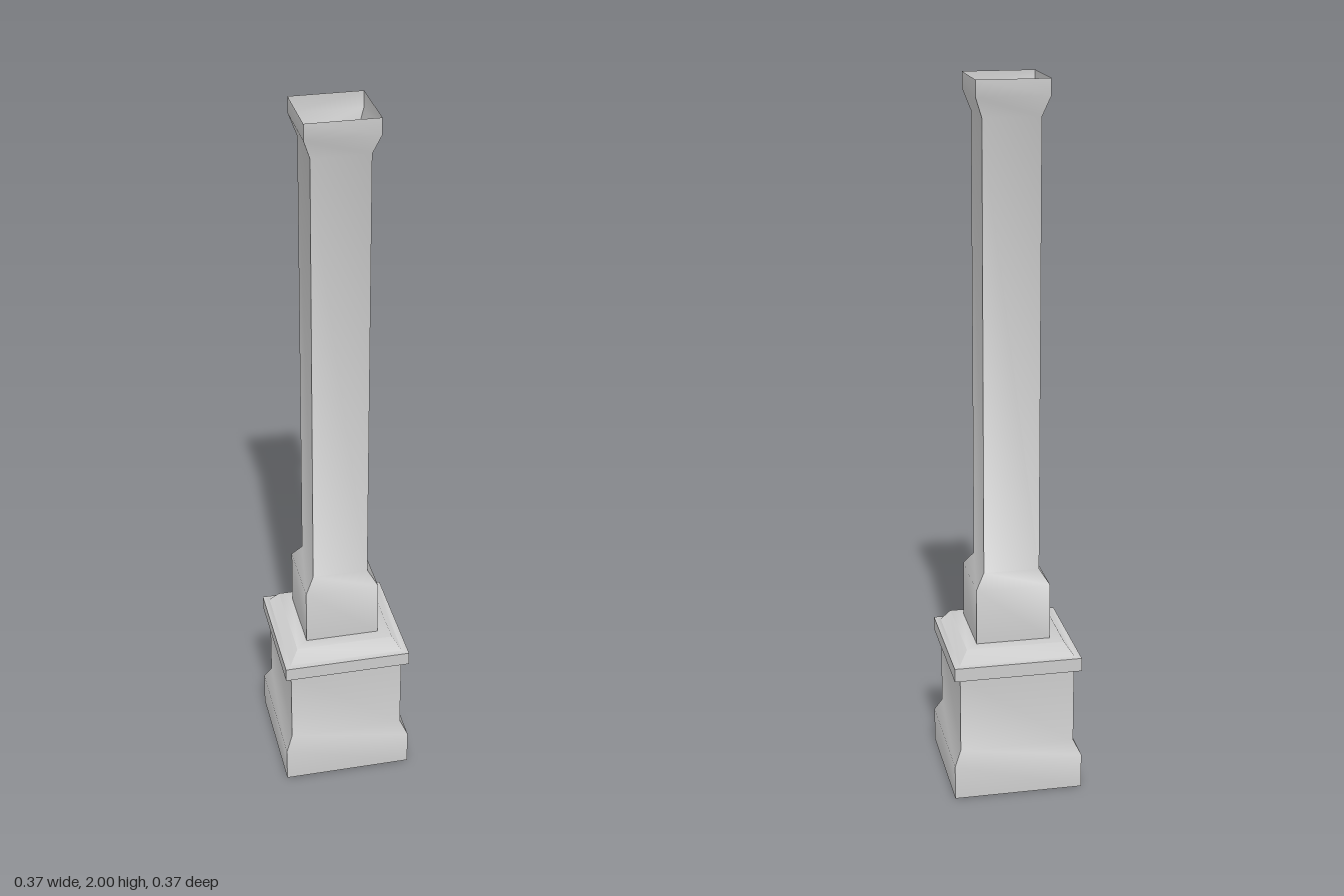
import * as THREE from 'three';
import { toCreasedNormals } from 'three/addons/utils/BufferGeometryUtils.js';

const material = new THREE.MeshStandardMaterial({ color: 0xcccccc, side: THREE.DoubleSide });

// Square open shell from a profile of [half width, height], bottom to top
function squareShell(name, profile) {
  const points = profile.map(([w, y]) => new THREE.Vector2(w * Math.SQRT2, y));
  const lathe = new THREE.LatheGeometry(points, 4, Math.PI / 4);
  const mesh = new THREE.Mesh(toCreasedNormals(lathe, Math.PI / 3), material);
  mesh.name = name;
  return mesh;
}

export function createModel() {
  const group = new THREE.Group();
  group.name = 'squareColumn';

  // Pedestal with a flared foot
  group.add(squareShell('pedestal', [
    [0.183, 0], [0.183, 0.1], [0.163, 0.14], [0.163, 0.363],
  ]));

  // Overhanging cap with a sloped top
  group.add(squareShell('pedestalCap', [
    [0.163, 0.363], [0.181, 0.363], [0.181, 0.402], [0.164, 0.402], [0.139, 0.438], [0.105, 0.438],
  ]));

  // Hollow shaft: wide collar, slim post, flared open top
  group.add(squareShell('shaft', [
    [0.105, 0.438], [0.105, 0.6], [0.079, 0.64], [0.079, 1.9], [0.099, 1.955], [0.099, 2],
  ]));

  return group;
}
